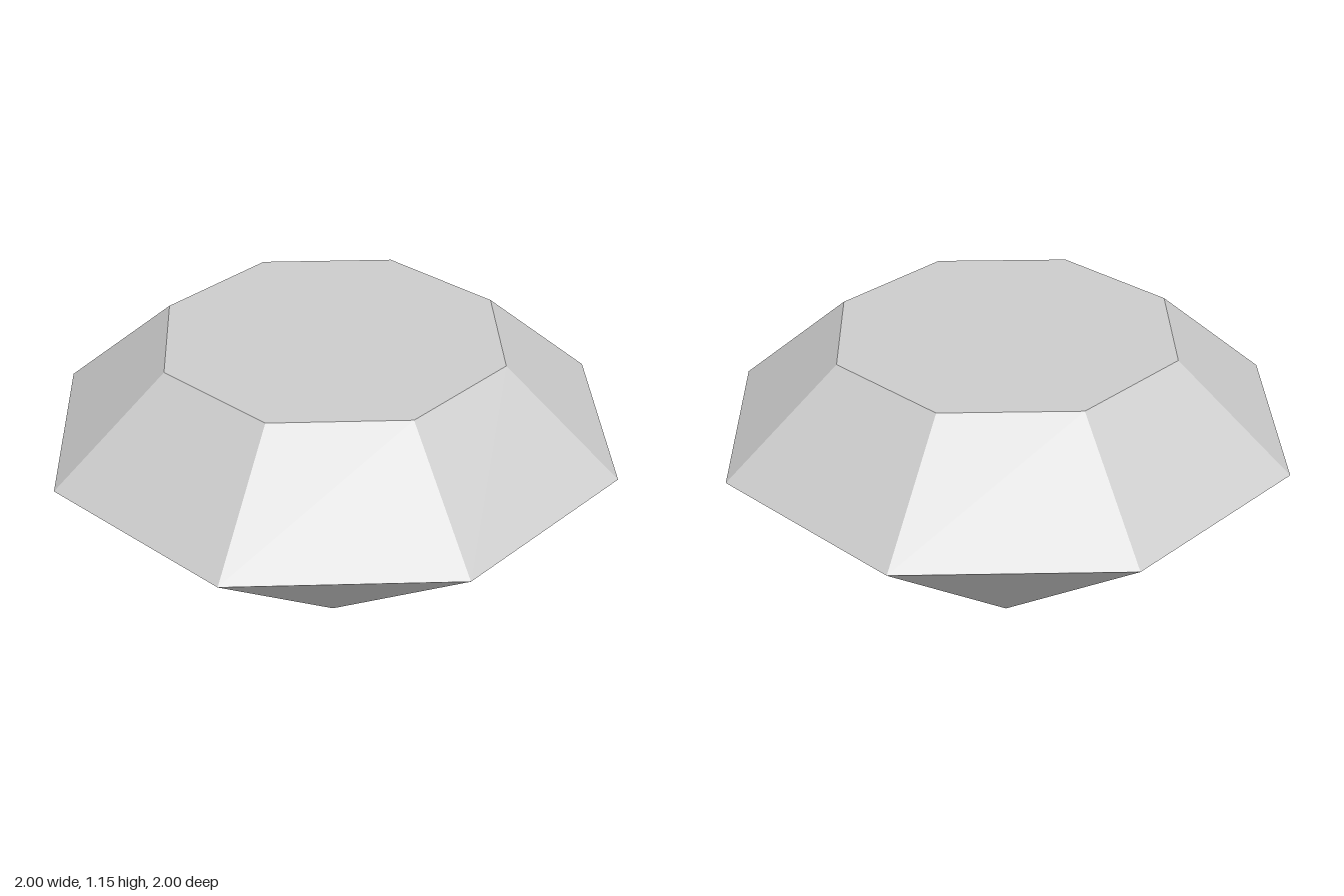
import * as THREE from 'three';

const SIDES = 8;
const GIRDLE_RADIUS = 1, TABLE_RADIUS = 0.6;
const GIRDLE_Y = 0.8, TABLE_Y = 1.15;

export function createModel() {
  const gem = new THREE.Group();
  gem.name = 'gem';

  const gemGrey = new THREE.MeshStandardMaterial({ color: 0xcccccc });
  gemGrey.name = 'gemGrey';

  // Split the facets so that each has its own flat normal
  const addPart = (name, geometry, y) => {
    const faceted = geometry.toNonIndexed();
    faceted.computeVertexNormals();
    const mesh = new THREE.Mesh(faceted, gemGrey);
    mesh.name = name;
    mesh.position.y = y;
    gem.add(mesh);
  };

  // Open ring of facets between two heights
  const facetRing = (topRadius, bottomRadius, height) =>
    new THREE.CylinderGeometry(topRadius, bottomRadius, height, SIDES, 1, true);

  // Pointed lower half
  addPart('pavilion', facetRing(GIRDLE_RADIUS, 0, GIRDLE_Y), GIRDLE_Y / 2);

  // Sloping upper facets
  const crownHeight = TABLE_Y - GIRDLE_Y;
  addPart('crown', facetRing(TABLE_RADIUS, GIRDLE_RADIUS, crownHeight), GIRDLE_Y + crownHeight / 2);

  // Flat top face
  addPart('table', new THREE.CircleGeometry(TABLE_RADIUS, SIDES).rotateX(-Math.PI / 2), TABLE_Y);

  return gem;
}
